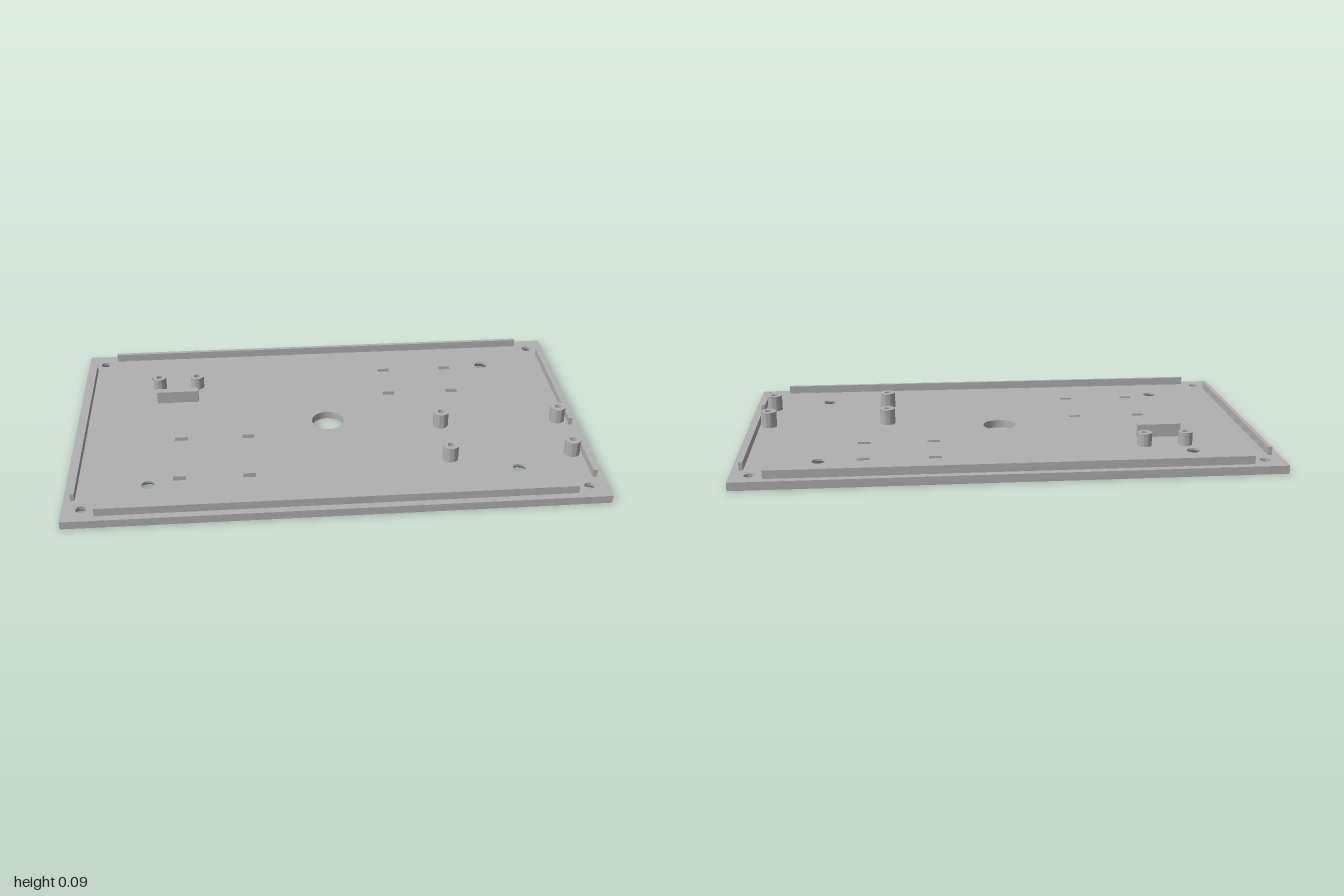
import * as THREE from 'three';
import { toCreasedNormals } from 'three/addons/utils/BufferGeometryUtils.js';

const W = 2, D = 1.17, T = 0.031;      // plate width, depth, thickness
const RAIL_TOP = 0.062;

export function createModel() {
  const group = new THREE.Group();
  const grey = new THREE.MeshStandardMaterial({ color: 0xb0b0b0 });
  grey.name = 'grey plastic';

  const add = (name, geometry, x = 0, y = 0, z = 0) => {
    const mesh = new THREE.Mesh(geometry, grey);
    mesh.name = name;
    mesh.position.set(x, y, z);
    group.add(mesh);
  };
  const lathe = (points) => toCreasedNormals(
    new THREE.LatheGeometry(points.map(([r, y]) => new THREE.Vector2(r, y)), 32), 0.6);

  // Round holes: small radius r at the top, countersunk to R at the bottom
  const holes = [{ x: 0, z: 0, r: 0.064, R: 0.064, depth: 0.01 }];
  for (const sx of [-1, 1]) for (const sz of [-1, 1]) {
    holes.push({ x: sx * 0.93, z: sz * 0.516, r: 0.019, R: 0.036, depth: 0.018 });
    holes.push({ x: sx * 0.697, z: sz * 0.385, r: 0.025, R: 0.048, depth: 0.023 });
  }

  // Rectangular cable slots
  const slotW = 0.048, slotD = 0.024, slots = [];
  for (const x of [0.27, 0.535]) for (const z of [-0.377, -0.188]) slots.push([x, z]);
  for (const x of [-0.583, -0.321]) for (const z of [0.09, 0.352]) slots.push([x, z]);

  // Plate faces, drawn in (x, -z) and laid flat
  const rect = (target, x, y, w, d) => target
    .moveTo(x - w / 2, y - d / 2).lineTo(x + w / 2, y - d / 2)
    .lineTo(x + w / 2, y + d / 2).lineTo(x - w / 2, y + d / 2).closePath();
  const plateFace = (key, flip) => {
    const shape = rect(new THREE.Shape(), 0, 0, W, D);
    for (const h of holes) {
      shape.holes.push(new THREE.Path().absarc(h.x, flip * h.z, h[key], 0, Math.PI * 2, true));
    }
    for (const [x, z] of slots) shape.holes.push(rect(new THREE.Path(), x, flip * z, slotW, slotD));
    return new THREE.ShapeGeometry(shape, 16).rotateX(flip * Math.PI / 2);
  };
  add('plateTop', plateFace('r', -1), 0, T, 0);
  add('plateBottom', plateFace('R', 1));

  // Four upright walls, facing outward or inward
  const walls = (w, d, inward) => {
    const g = new THREE.BoxGeometry(w, T, d);
    const index = Array.from(g.index.array).filter((_, i) => i < 12 || i >= 24);
    g.setIndex(inward ? index.reverse() : index);
    g.computeVertexNormals();
    return g;
  };
  add('plateEdge', walls(W, D, false), 0, T / 2, 0);
  for (const [x, z] of slots) add('slotWall', walls(slotW, slotD, true), x, T / 2, z);
  for (const h of holes) {
    add('holeWall', lathe([[h.r, T], [h.r, h.depth], [h.R, 0]]), h.x, 0, h.z);
  }

  // Locating rails around the rim: x, z, width, depth
  const t = 0.015;
  const rails = [
    [0, -0.55, 1.76, t], [0, 0.55, 1.76, t],
    [-0.965, 0, t, 0.926],
    [0.965, -0.179, t, 0.568], [0.965, 0.361, t, 0.204],
  ];
  for (const [x, z, w, d] of rails) {
    add('rail', new THREE.BoxGeometry(w, RAIL_TOP - T, d), x, (T + RAIL_TOP) / 2, z);
  }

  // Hollow screw posts
  const post = (x, z, r, top) =>
    add('screwPost', lathe([[r, T], [r, top], [0.013, top], [0.013, T + 0.001], [0, T + 0.001]]), x, 0, z);
  for (const x of [0.447, 0.92]) for (const z of [0.065, 0.3]) post(x, z, 0.03, 0.093);
  for (const x of [-0.684, -0.527]) post(x, -0.306, 0.027, 0.082);

  // Support bar beside the small posts
  add('supportBar', new THREE.BoxGeometry(0.168, 0.082 - T, 0.029), -0.605, (T + 0.082) / 2, -0.197);

  return group;
}
